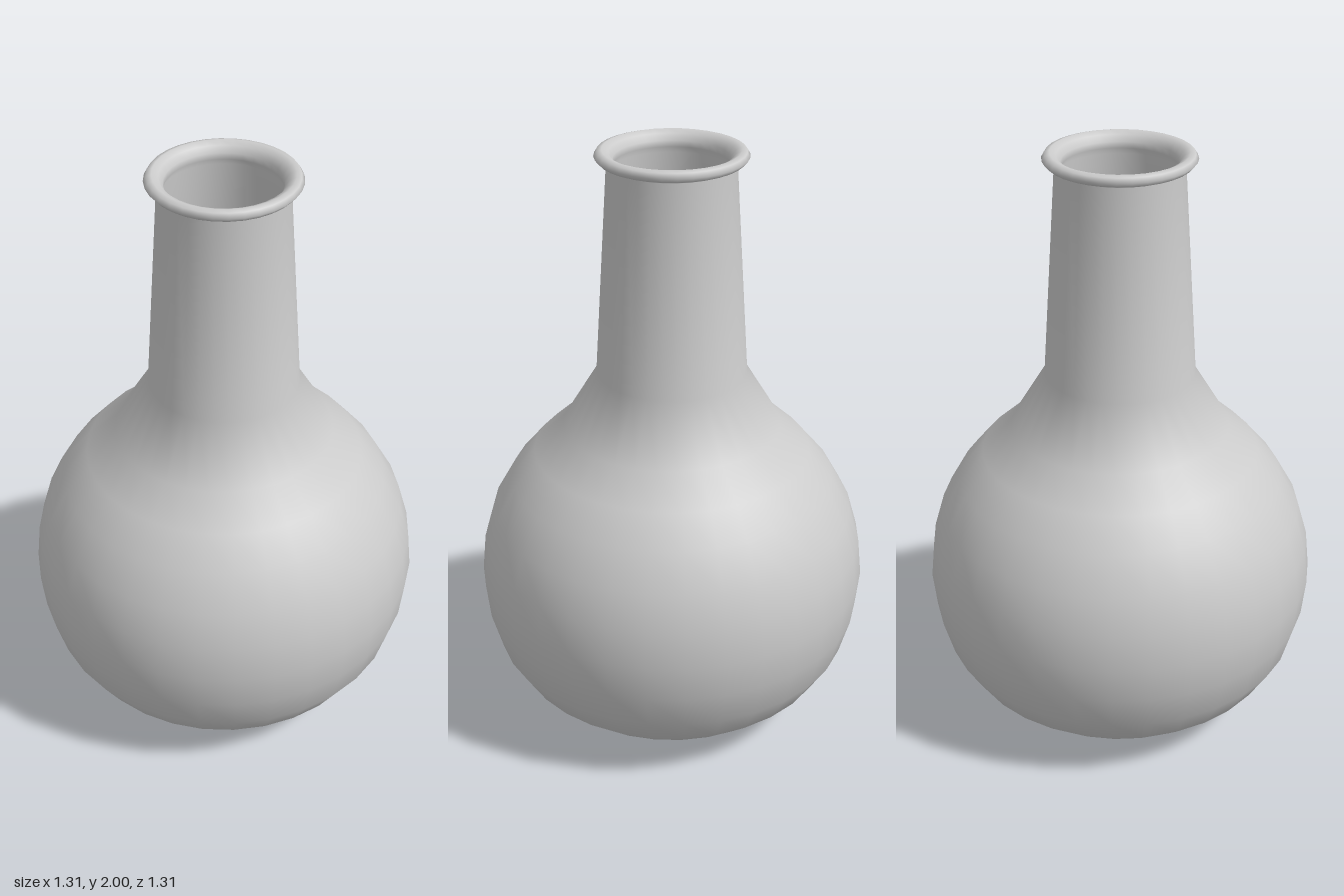
import * as THREE from 'three';

const SIDES = 32;
const WALL = 0.01;

function lathe(name, points, color) {
  const geometry = new THREE.LatheGeometry(points.map(([r, y]) => new THREE.Vector2(r, y)), SIDES);
  const mesh = new THREE.Mesh(geometry, new THREE.MeshStandardMaterial({ color, side: THREE.DoubleSide }));
  mesh.name = name;
  return mesh;
}

export function createModel() {
  const group = new THREE.Group();
  group.name = 'flask';

  // Round belly with a slightly flattened base, from the bottom up
  const belly = [
    [0, 0.005], [0.13, 0.008], [0.25, 0.018], [0.36, 0.045], [0.46, 0.1], [0.54, 0.17],
    [0.605, 0.275], [0.64, 0.4], [0.653, 0.525], [0.64, 0.65], [0.605, 0.77],
    [0.54, 0.885], [0.46, 0.98], [0.362, 1.07],
  ];
  // Shoulder, tapering neck and rolled lip
  const neck = [[0.247, 1.26], [0.203, 1.955]];
  const lip = [[0.228, 1.965], [0.241, 1.98], [0.232, 1.995], [0.216, 2], [0.196, 1.99], [0.182, 1.97], [0.18, 1.95]];

  // Inner wall follows the outside, from the lip back down
  const inset = ([r, y]) => [Math.max(r - WALL, 0), y + (y < 0.3 ? WALL : 0)];
  const inside = [[0.19, 1.93], ...[...belly, neck[0]].reverse().map(inset)];
  group.add(lathe('glassBottle', [...belly, ...neck, ...lip, ...inside], 0xcccccc));

  // Liquid filling the lower belly, with a flat surface on top
  const level = 0.65;
  const fill = belly.filter(([, y]) => y <= level).map(([r, y]) => [Math.max(r - 0.014, 0), y + (y < 0.3 ? 0.014 : 0)]);
  group.add(lathe('liquid', [...fill, [0.3, level], [0, level]], 0xb0509c));

  return group;
}
